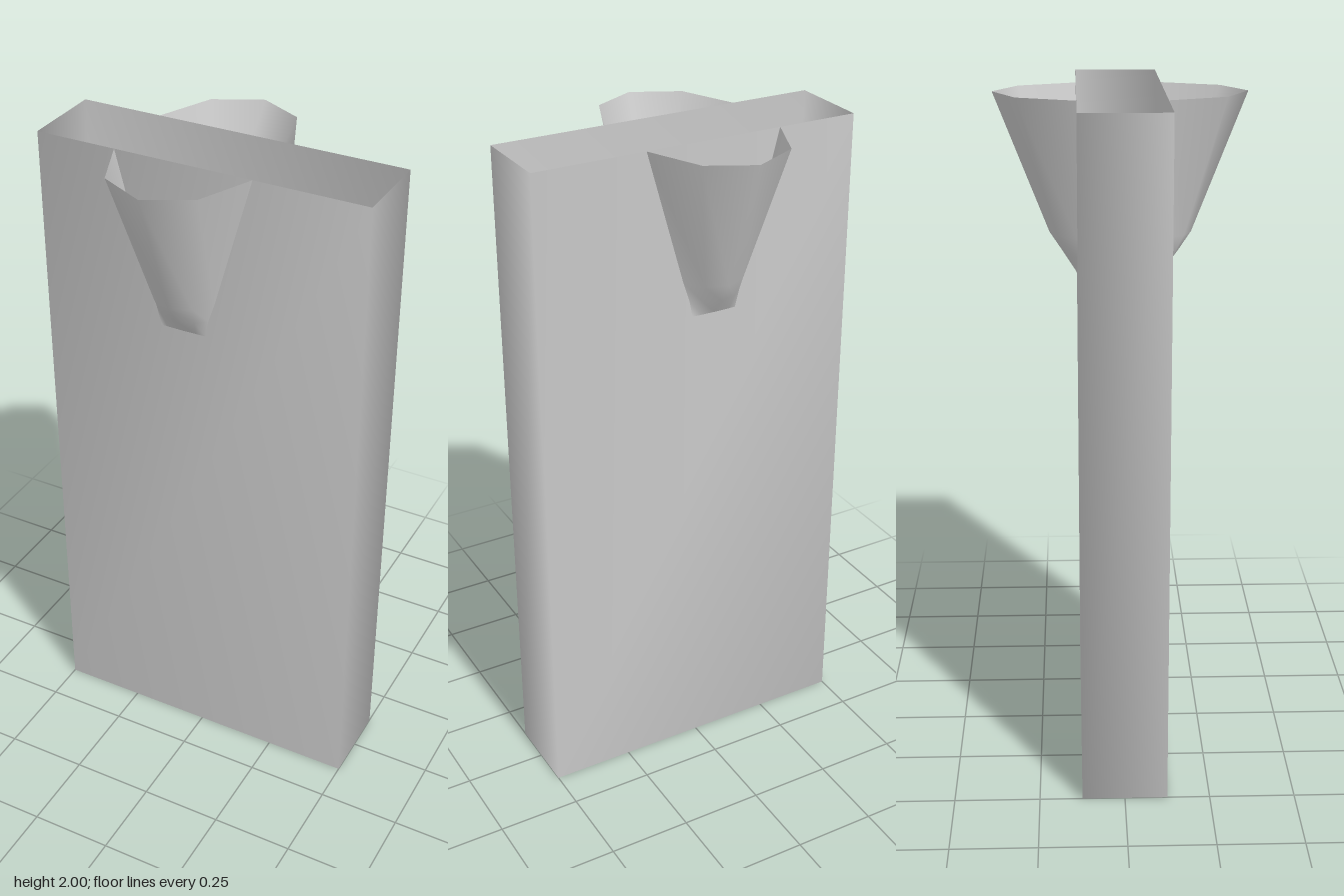
import * as THREE from 'three';
import { mergeVertices } from 'three/addons/utils/BufferGeometryUtils.js';

const material = new THREE.MeshStandardMaterial({ color: 0xcccccc, side: THREE.DoubleSide });

// Flat open-topped case with shared corners, so its shading rolls around the edges
function makeCase() {
  let geo = new THREE.BoxGeometry(1, 2, 0.25);
  const index = Array.from(geo.index.array);
  index.splice(12, 6); // leave the top open
  geo.setIndex(index);
  geo.clearGroups();
  geo.deleteAttribute('normal');
  geo.deleteAttribute('uv');
  geo = mergeVertices(geo);
  geo.computeVertexNormals();
  const mesh = new THREE.Mesh(geo, material);
  mesh.name = 'openCase';
  mesh.position.y = 1;
  return mesh;
}

// Tapered pocket: rings of [x, z] from the open rim down to the closed toe
const rings = [
  { y: 2.0, pts: [[-0.255, 0.125], [-0.183, 0.293], [-0.043, 0.362], [0.09, 0.293], [0.162, 0.125]] },
  { y: 1.6, pts: [[-0.15, 0.125], [-0.11, 0.18], [-0.05, 0.205], [0.012, 0.18], [0.05, 0.125]] },
  { y: 1.54, pts: [[-0.133, 0.125], [-0.105, 0.15], [-0.05, 0.165], [0.0, 0.15], [0.03, 0.125]] },
  { y: 1.49, pts: [[-0.12, 0.125], [-0.1, 0.126], [-0.05, 0.127], [-0.01, 0.126], [0.02, 0.125]] },
];

function makePocket(name, side) {
  const positions = [];
  const index = [];
  const n = rings[0].pts.length;
  for (const { y, pts } of rings) {
    const row = side > 0 ? pts : [...pts].reverse();
    for (const [x, z] of row) positions.push(x, y, z * side);
  }
  for (let r = 0; r < rings.length - 1; r++) {
    for (let i = 0; i < n - 1; i++) {
      const a = r * n + i, b = a + n;
      index.push(a, b, b + 1, a, b + 1, a + 1);
    }
  }
  const geo = new THREE.BufferGeometry();
  geo.setAttribute('position', new THREE.Float32BufferAttribute(positions, 3));
  geo.setIndex(index);
  geo.computeVertexNormals();
  const mesh = new THREE.Mesh(geo, material);
  mesh.name = name;
  return mesh;
}

export function createModel() {
  const group = new THREE.Group();
  group.name = 'caseWithPockets';
  group.add(makeCase(), makePocket('frontPocket', 1), makePocket('backPocket', -1));
  return group;
}
